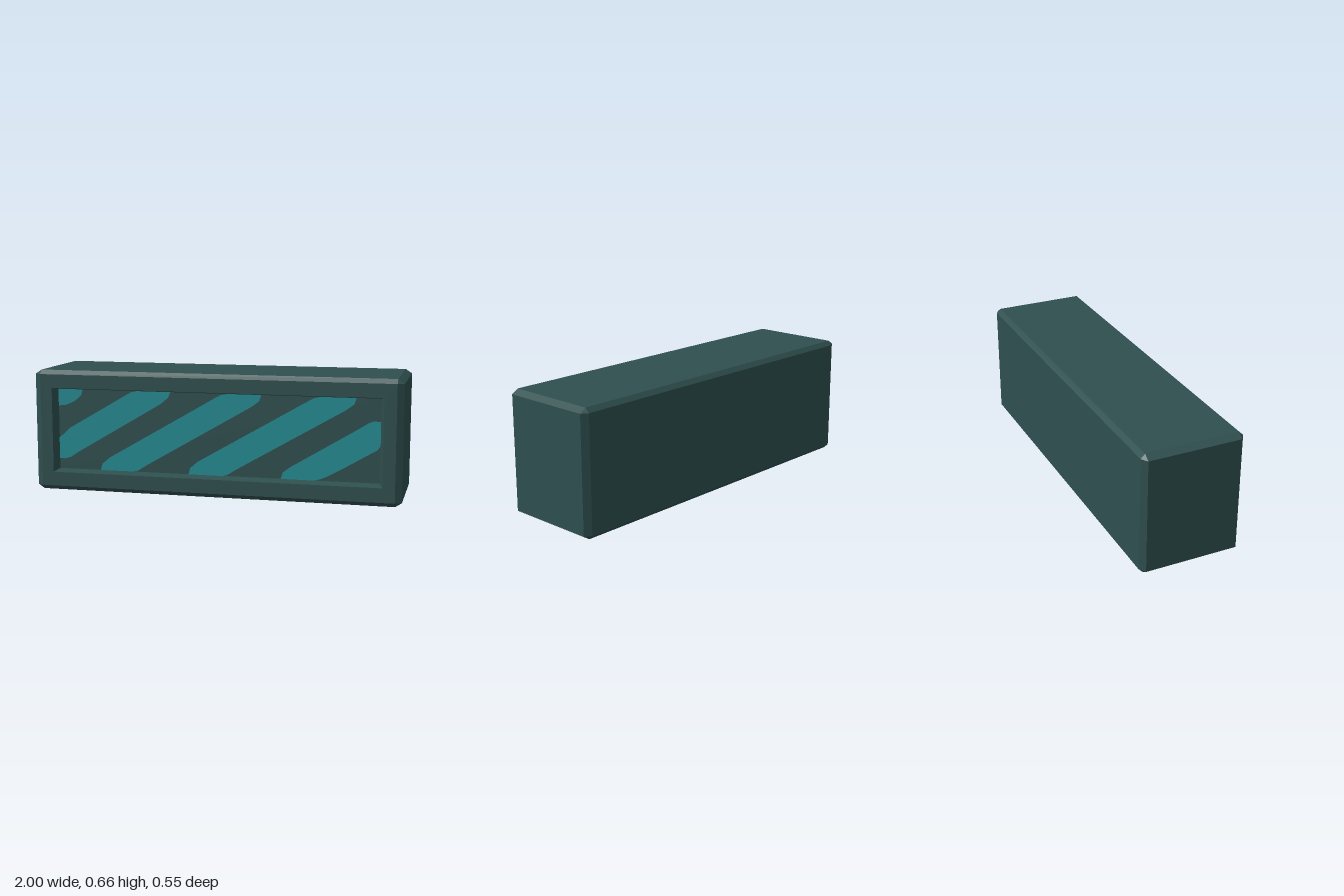
import * as THREE from 'three';

// Rectangular section with optional cut corners, counter-clockwise seen from +z
function ring(w, y0, y1, z, cx = 0, cy = 0) {
  return [
    [w, y0 + cy], [w, y1 - cy], [w - cx, y1], [-w + cx, y1],
    [-w, y1 - cy], [-w, y0 + cy], [-w + cx, y0], [w - cx, y0],
  ].map(([x, y]) => new THREE.Vector3(x, y, z));
}

// Skin consecutive sections with flat faces, dropping collapsed triangles
function loft(rings) {
  const points = [];
  const tri = (a, b, c) => {
    if (new THREE.Triangle(a, b, c).getArea() > 1e-7) points.push(a, b, c);
  };
  for (let r = 0; r < rings.length - 1; r++) {
    const a = rings[r], b = rings[r + 1];
    for (let i = 0; i < 8; i++) {
      const j = (i + 1) % 8;
      tri(a[i], a[j], b[j]);
      tri(a[i], b[j], b[i]);
    }
  }
  const geometry = new THREE.BufferGeometry().setFromPoints(points);
  geometry.computeVertexNormals();
  return geometry;
}

export function createModel() {
  const model = new THREE.Group();
  model.name = 'stripedBox';
  const casing = new THREE.MeshStandardMaterial({ color: 0x2f4f4f });
  casing.name = 'dark slate';
  const teal = new THREE.MeshStandardMaterial({ color: 0x238c93 });
  teal.name = 'teal';

  const add = (name, geometry, material) => {
    const mesh = new THREE.Mesh(geometry, material);
    mesh.name = name;
    model.add(mesh);
    return mesh;
  };

  const H = 0.662, D = 0.273, cx = 0.035, c = 0.023;
  const panelZ = D - 0.055;
  const recess = ring(0.882, 0.112, 0.555, panelZ);

  // Chamfered casing, open at the front, with a slightly tapered recess
  add('casing', loft([
    ring(0, H / 2, H / 2, -D),
    ring(1 - cx, c, H - c, -D),
    ring(1, 0, H, -D + c, cx, c),
    ring(1, 0, H, D - c, cx, c),
    ring(1 - cx, c, H - c, D),
    ring(0.9, 0.1, 0.565, D),
    recess,
  ]), casing);

  // Sunken front panel
  add('frontPanel', loft([recess, ring(0, H / 2, H / 2, panelZ)]), casing);

  // Slanted stripes with soft corners, painted on the panel
  const full = [
    [-0.644, 0.112], [-0.634, 0.147], [-0.591, 0.184], [-0.003, 0.527], [0.035, 0.548], [0.07, 0.555],
    [0.254, 0.555], [0.243, 0.521], [0.2, 0.489], [-0.377, 0.152], [-0.43, 0.118], [-0.455, 0.112],
  ];
  const stripes = [
    [[-0.882, 0.555], [-0.74, 0.555], [-0.751, 0.521], [-0.789, 0.489], [-0.837, 0.468], [-0.882, 0.462]],
    [[-0.882, 0.286], [-0.853, 0.307], [-0.82, 0.34], [-0.5, 0.527], [-0.463, 0.548], [-0.433, 0.555],
      [-0.243, 0.555], [-0.254, 0.525], [-0.297, 0.489], [-0.767, 0.211], [-0.816, 0.179], [-0.848, 0.168],
      [-0.882, 0.168]],
    full,
    full.map(([x, y]) => [x + 0.5, y]),
    [[0.361, 0.112], [0.372, 0.147], [0.414, 0.179], [0.767, 0.393], [0.816, 0.425], [0.842, 0.436],
      [0.882, 0.436], [0.882, 0.307], [0.864, 0.286], [0.703, 0.19], [0.607, 0.136], [0.57, 0.12], [0.54, 0.112]],
  ];
  stripes.forEach((points, i) => {
    const shape = new THREE.Shape(points.map(([x, y]) => new THREE.Vector2(x, y)));
    add(`stripe${i + 1}`, new THREE.ShapeGeometry(shape), teal).position.z = panelZ + 0.003;
  });

  return model;
}
